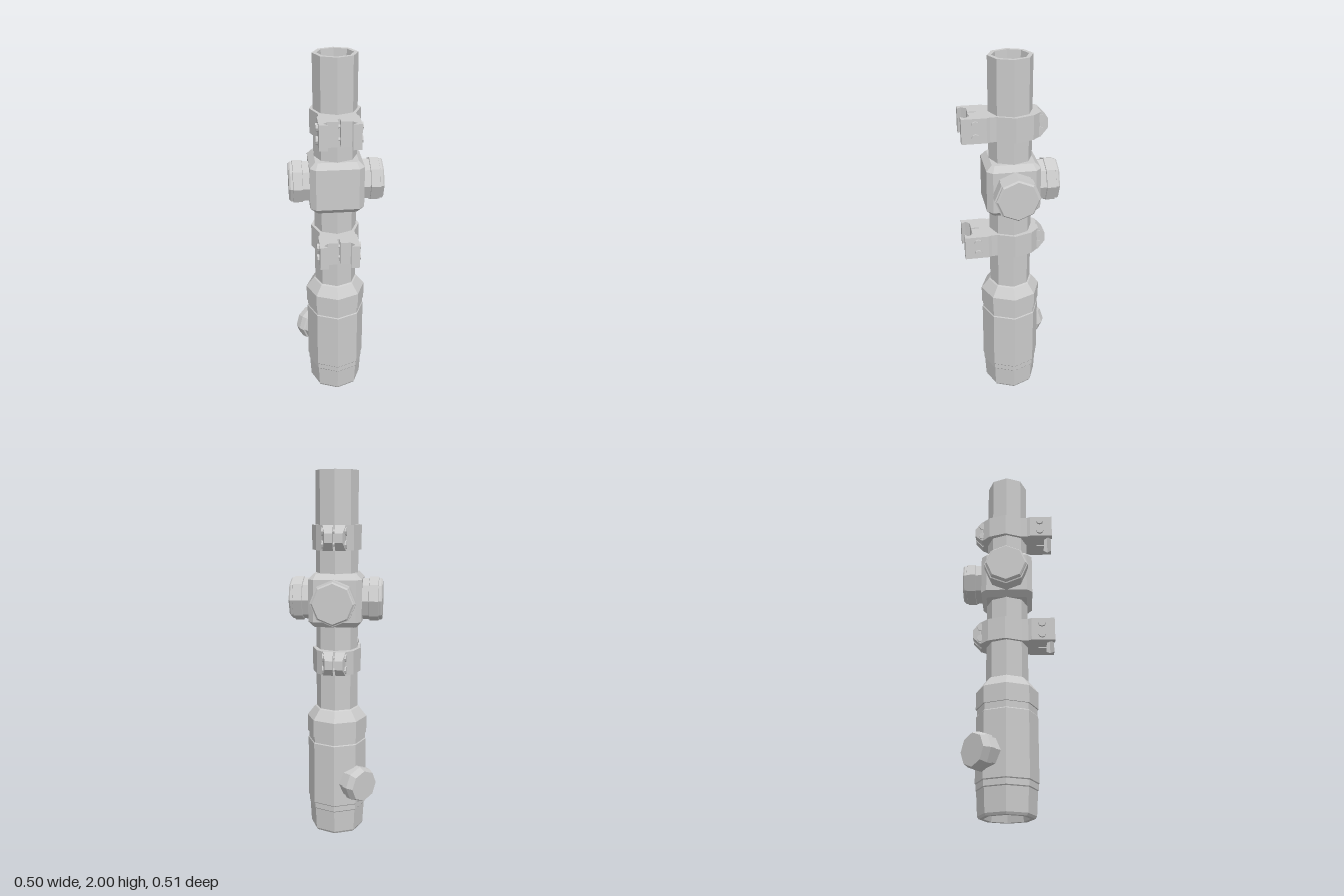
import * as THREE from 'three';
import { ConvexGeometry } from 'three/addons/geometries/ConvexGeometry.js';

const AXIS_Z = -0.008;
const grey = new THREE.MeshStandardMaterial({ color: 0xcccccc, flatShading: true });

function add(parent, name, geometry) {
  const mesh = new THREE.Mesh(geometry, grey);
  mesh.name = name;
  parent.add(mesh);
  return mesh;
}

// Eight-sided turned part; profile is [radius, height] from bottom to top
function turned(profile) {
  return new THREE.LatheGeometry(profile.map(([r, y]) => new THREE.Vector2(r, y)), 8);
}

// Plan outline given as [x, z], raised along y
function plan(points, height, options = {}) {
  const shape = new THREE.Shape(points.map(([x, z]) => new THREE.Vector2(x, -z)));
  return new THREE.ExtrudeGeometry(shape, { depth: height, bevelEnabled: false, ...options })
    .rotateX(-Math.PI / 2);
}

// Pin or screw lying along x
function pin(radius, length, x, y, z) {
  return new THREE.CylinderGeometry(radius, radius, length, 8)
    .rotateZ(Math.PI / 2).translate(x, y, z);
}

// Mounting ring with rail foot, clamp ears and screws, centred on y = 0
function mountRing() {
  const ring = new THREE.Group();
  ring.name = 'mountRing';
  const h = 0.13;

  // Right half of the outline, from the clamp at the back to the rail foot
  const half = [
    [0.06, -0.15], [0.1, -0.11], [0.133, -0.015], [0.096, 0.078], [0.096, 0.11],
    [0.105, 0.128], [0.105, 0.255], [0.061, 0.255], [0.082, 0.233], [0.061, 0.21],
    [0.006, 0.21], [0.006, 0.165],
  ];
  const mirrored = half.map(([x, z]) => [-x, z]).reverse();
  add(ring, 'ringBody', plan([...half, ...mirrored], h).translate(0, -h / 2, 0));

  for (const s of [-1, 1]) {
    // Clamp ear with a pointed end
    const corners = [];
    for (const v of [-1, 1]) {
      for (const [outer, y, z] of [[0.06, 0.065, -0.12], [0.06, 0.065, -0.155], [0.047, 0.024, -0.195]]) {
        corners.push(new THREE.Vector3(s * 0.006, v * y, z), new THREE.Vector3(s * outer, v * y, z));
      }
    }
    add(ring, 'clampEar', new ConvexGeometry(corners));
    for (const y of [-0.033, 0.033]) {
      add(ring, 'clampScrewHead', pin(0.022, 0.012, s * 0.059, y, -0.15));
      add(ring, 'railScrewHead', pin(0.021, 0.014, s * 0.11, y, 0.185));
    }
  }
  for (const y of [-0.033, 0.033]) {
    add(ring, 'clampScrewShaft', pin(0.009, 0.09, 0, y, -0.153));
    add(ring, 'railScrewShaft', pin(0.009, 0.09, 0, y, 0.185));
  }
  return ring;
}

export function createModel() {
  const model = new THREE.Group();
  model.name = 'scope';

  // Main tube and eyepiece, with recessed lenses at both ends
  add(model, 'tubeAndEyepiece', turned([
    [0, 0.05], [0.108, 0.05], [0.118, 0], [0.142, 0], [0.149, 0.012],
    [0.156, 0.135], [0.16, 0.14], [0.16, 0.17], [0.164, 0.175], [0.164, 0.525],
    [0.16, 0.53], [0.16, 0.565], [0.167, 0.565], [0.167, 0.66], [0.124, 0.715],
    [0.115, 0.72], [0.115, 2], [0.093, 2], [0.088, 1.93], [0, 1.93],
  ])).position.z = AXIS_Z;

  // Turret housing, chamfered on every edge
  const c = 0.03, x = 0.143, back = -0.15, front = 0.135;
  const housing = plan([
    [x - c, back], [x, back + c], [x, front - c], [x - c, front],
    [c - x, front], [-x, front - c], [-x, back + c], [c - x, back],
  ], 0.225, { bevelEnabled: true, bevelSegments: 1, bevelSize: c, bevelOffset: -c, bevelThickness: c });
  add(model, 'turretHousing', housing.translate(0, 1.213, 0));

  // Adjustment turrets on both sides and at the back
  const turret = [
    [0.113, 0.12], [0.113, 0.178], [0.12, 0.18], [0.12, 0.228],
    [0.113, 0.23], [0.113, 0.242], [0.105, 0.25], [0, 0.25],
  ];
  for (const s of [-1, 1]) {
    add(model, 'sideTurret', turned(turret).rotateZ(-s * Math.PI / 2))
      .position.set(0, 1.325, AXIS_Z);
  }
  add(model, 'backTurret', turned(turret).rotateX(-Math.PI / 2)).position.set(0, 1.325, -0.006);

  // Diagonal dial on the eyepiece
  const dial = turned([
    [0.09, 0.12], [0.09, 0.165], [0.1, 0.17], [0.1, 0.2], [0.086, 0.238], [0, 0.238],
  ]);
  add(model, 'eyepieceDial', dial.rotateX(-Math.PI / 2).rotateY(Math.PI / 4))
    .position.set(0, 0.307, AXIS_Z);

  // Two mounting rings
  for (const y of [0.99, 1.655]) {
    const ring = mountRing();
    ring.position.y = y;
    model.add(ring);
  }
  return model;
}
